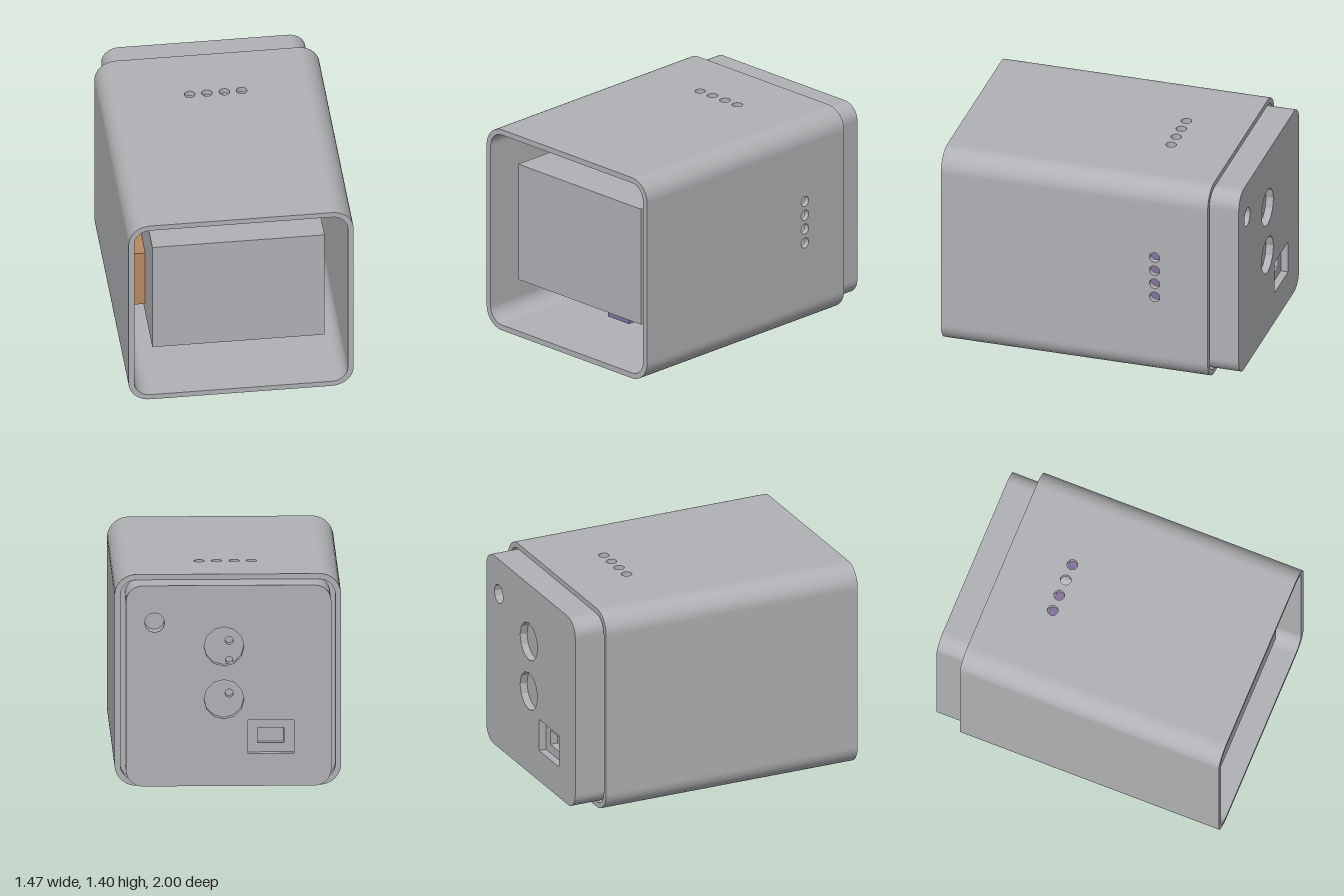
import * as THREE from 'three';

const mat = (name, color) => {
  const m = new THREE.MeshStandardMaterial({ color });
  m.name = name;
  return m;
};

export function createModel() {
  const root = new THREE.Group();
  root.name = 'deviceEnclosure';
  const grey = mat('casing grey', 0xb0b1b4);
  const orange = mat('module orange', 0xb88a62);
  const green = mat('board green', 0x5caa88);
  const purple = mat('controller purple', 0x83729a);

  const W = 0.735, H = 1.4, T = 0.037, R = 0.14, CY = H / 2;
  const BACK = -0.81, FRONT = 1;

  const add = (parent, name, geo, material, x = 0, y = 0, z = 0) => {
    const mesh = new THREE.Mesh(geo, material);
    mesh.name = name;
    mesh.position.set(x, y, z);
    parent.add(mesh);
    return mesh;
  };
  const extrude = (shape, depth, curveSegments = 6) =>
    new THREE.ExtrudeGeometry(shape, { depth, bevelEnabled: false, curveSegments });
  // Box given by its limits on each axis
  const block = (parent, name, material, x0, x1, y0, y1, z0, z1) =>
    add(parent, name, new THREE.BoxGeometry(x1 - x0, y1 - y0, z1 - z0), material,
      (x0 + x1) / 2, (y0 + y1) / 2, (z0 + z1) / 2);
  const rect = (target, x, y, w, h) => {
    target.moveTo(x - w / 2, y - h / 2).lineTo(x + w / 2, y - h / 2)
      .lineTo(x + w / 2, y + h / 2).lineTo(x - w / 2, y + h / 2).closePath();
    return target;
  };
  const circle = (x, y, r) => new THREE.Path().absarc(x, y, r, 0, Math.PI * 2, true);
  const roundedRect = (w, h, r) => {
    const s = new THREE.Shape();
    [[1, -1], [1, 1], [-1, 1], [-1, -1]].forEach(([sx, sy], i) =>
      s.absarc(sx * (w / 2 - r), CY + sy * (h / 2 - r), r,
        (i - 1) * Math.PI / 2, i * Math.PI / 2, false));
    return s;
  };

  // Housing sleeve: four walls and four rounded corners
  const housing = new THREE.Group();
  housing.name = 'housing';
  root.add(housing);
  const length = FRONT - BACK, midZ = (FRONT + BACK) / 2;

  const topShape = rect(new THREE.Shape(), 0, -midZ, 2 * (W - R), length);
  for (const x of [-0.165, -0.052, 0.062, 0.175]) topShape.holes.push(circle(x, 0.39, 0.035));
  add(housing, 'topWall', extrude(topShape, T, 10).rotateX(-Math.PI / 2), grey, 0, H - T, 0);

  const sideShape = rect(new THREE.Shape(), -midZ, CY, length, H - 2 * R);
  for (const y of [0.575, 0.672, 0.768, 0.865]) sideShape.holes.push(circle(0.45, y, 0.035));
  add(housing, 'leftWall', extrude(sideShape, T, 10).rotateY(Math.PI / 2), grey, W - T, 0, 0);

  block(housing, 'rightWall', grey, -W, -W + T, R, H - R, BACK, FRONT);
  block(housing, 'bottomWall', grey, -W + R, W - R, 0, T, BACK, FRONT);

  [[1, 1], [-1, 1], [-1, -1], [1, -1]].forEach(([sx, sy], i) => {
    const a = i * Math.PI / 2, b = a + Math.PI / 2;
    const s = new THREE.Shape().absarc(0, 0, R, a, b, false).absarc(0, 0, R - T, b, a, true);
    add(housing, 'corner', extrude(s, length), grey, sx * (W - R), CY + sy * (CY - R), BACK);
  });

  // Rear lid: layers with wide recesses, narrower openings and a solid base
  const lid = new THREE.Group();
  lid.name = 'rearLid';
  root.add(lid);
  const LW = 1.333, LH = 1.33, LR = 0.11;

  const face = roundedRect(LW, LH, LR);
  face.holes.push(circle(0.48, 1.12, 0.065), circle(0.03, 0.96, 0.13), circle(0.03, 0.61, 0.13),
    rect(new THREE.Path(), -0.275, 0.36, 0.3, 0.22));
  add(lid, 'lidFace', extrude(face, 0.05), grey, 0, 0, -1);

  const layer = roundedRect(LW, LH, LR);
  layer.holes.push(circle(0.48, 1.12, 0.065), circle(-0.005, 0.99, 0.027), circle(-0.005, 0.64, 0.027),
    circle(-0.005, 0.86, 0.024), rect(new THREE.Path(), -0.275, 0.36, 0.17, 0.1));
  add(lid, 'recessFloor', extrude(layer, 0.05), grey, 0, 0, -0.95);

  add(lid, 'lidBase', extrude(roundedRect(LW, LH, LR), 0.16), grey, 0, 0, -0.9);
  add(lid, 'innerFlange', extrude(roundedRect(2 * (W - T), H - 2 * T, R - T), 0.04), grey, 0, 0, -0.74);

  // Internal components
  const inner = new THREE.Group();
  inner.name = 'internals';
  root.add(inner);
  block(inner, 'batteryBlock', grey, -0.565, 0.56, 0.33, 1.135, -0.3, 0.88);
  block(inner, 'controllerBoard', purple, -0.55, 0.55, 0.34, 1.12, -0.45, -0.3);
  block(inner, 'controllerTab', purple, -0.03, 0.16, 0.14, 0.33, -0.3, 0.59);
  block(inner, 'socketBody', grey, -0.31, -0.03, 0.17, 0.33, -0.7, -0.45);
  block(inner, 'topBoard', green, 0.15, 0.56, 1.135, 1.265, -0.3, 0.4);
  block(inner, 'upperSideModule', orange, -0.7, -0.565, 0.615, 0.985, -0.3, 0.2);
  block(inner, 'lowerSideModule', orange, -0.65, -0.565, 0.4, 0.81, 0.2, 0.5);
  block(inner, 'lidRib', grey, -0.26, -0.035, 1.155, 1.195, -0.7, -0.66);

  // Hollow standoff above the controller and two posts beside it
  const ring = new THREE.Shape().absarc(0, 0, 0.046, 0, Math.PI * 2, false);
  ring.holes.push(circle(0, 0, 0.02));
  add(inner, 'standoff', extrude(ring, 0.36, 10), grey, 0.125, 1.187, -0.7);
  for (const y of [0.765, 0.57]) {
    const post = new THREE.CylinderGeometry(0.045, 0.045, 0.3, 20).rotateX(Math.PI / 2);
    add(inner, 'sidePost', post, grey, -0.615, y, -0.55);
  }

  return root;
}
